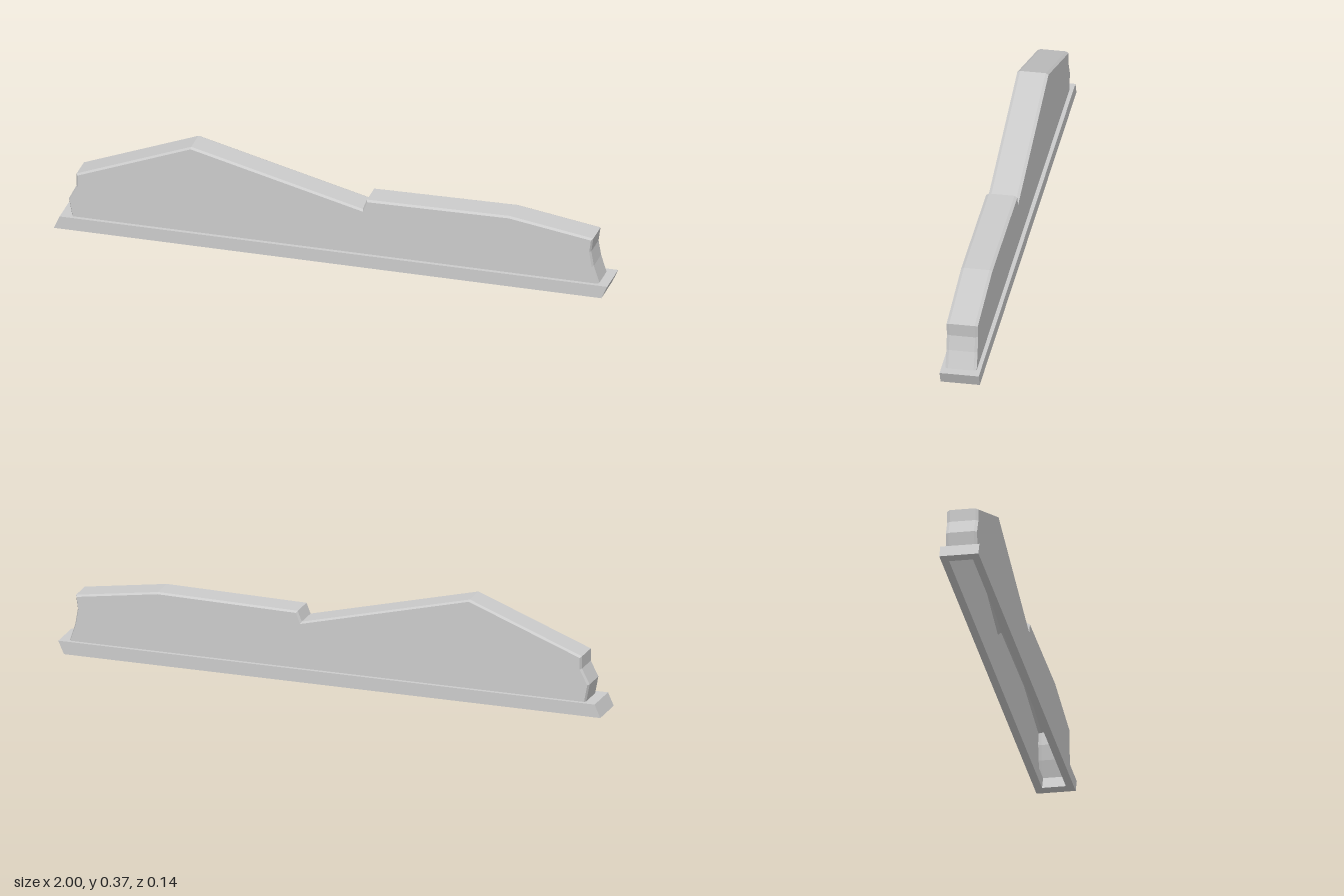
import * as THREE from 'three';

const BASE_H = 0.047;
const material = new THREE.MeshStandardMaterial({ color: 0xcccccc, flatShading: true, side: THREE.DoubleSide });

// Open side outline of the body, from bottom left over the top to bottom right
const outline = [
  [-0.94, BASE_H], [-0.952, 0.11], [-0.924, 0.165], [-0.924, 0.21],
  [-0.51, 0.37], [0.11, 0.215], [0.125, 0.253], [0.64, 0.261],
  [0.943, 0.215], [0.936, 0.165], [0.945, 0.11], [0.965, BASE_H],
].map(([x, y]) => new THREE.Vector2(x, y));

// Move an open outline inward by d with mitred corners
function inset(points, d) {
  const normal = (a, b) => {
    const t = b.clone().sub(a).normalize();
    return new THREE.Vector2(t.y, -t.x);
  };
  return points.map((p, i) => {
    const n1 = normal(points[Math.max(i - 1, 0)], points[Math.max(i, 1)]);
    const last = points.length - 1;
    const n2 = normal(points[Math.min(i, last - 1)], points[Math.min(i + 1, last)]);
    const m = n1.clone().add(n2);
    const q = p.clone().addScaledVector(m, d / (1 + n1.dot(n2)));
    if (i === 0 || i === last) q.y = BASE_H;
    return q;
  });
}

// Chamfered rim joining the two side panels, open underneath
function rimGeometry(inner) {
  const rings = [[inner, 0.055], [outline, 0.045], [outline, -0.045], [inner, -0.055]];
  const position = [];
  const index = [];
  const n = outline.length;
  rings.forEach(([ring, z], r) => ring.forEach((p, i) => {
    position.push(p.x, p.y, z);
    if (r < 3 && i < n - 1) {
      const a = r * n + i;
      index.push(a, a + 1, a + n, a + 1, a + n + 1, a + n);
    }
  }));
  const geometry = new THREE.BufferGeometry();
  geometry.setAttribute('position', new THREE.Float32BufferAttribute(position, 3));
  geometry.setIndex(index);
  const flat = geometry.toNonIndexed();
  flat.computeVertexNormals();
  return flat;
}

function rectangle(path, x0, x1, z) {
  path.moveTo(x0, -z);
  path.lineTo(x1, -z);
  path.lineTo(x1, z);
  path.lineTo(x0, z);
  path.closePath();
  return path;
}

export function createModel() {
  const model = new THREE.Group();
  const add = (parent, name, geometry) => {
    const mesh = new THREE.Mesh(geometry, material);
    mesh.name = name;
    parent.add(mesh);
    return mesh;
  };

  // Base frame, open in the middle, with both ends leaning the same way
  const frame = rectangle(new THREE.Shape(), -1, 0.979, 0.069);
  frame.holes.push(rectangle(new THREE.Path(), -0.955, 0.935, 0.042));
  const base = new THREE.ExtrudeGeometry(frame, { depth: BASE_H, bevelEnabled: false });
  base.rotateX(-Math.PI / 2);
  const pos = base.attributes.position;
  for (let i = 0; i < pos.count; i++) pos.setX(i, pos.getX(i) + pos.getY(i) * 0.447);
  base.computeVertexNormals();
  add(model, 'baseFrame', base);

  // Hollow body
  const body = new THREE.Group();
  body.name = 'body';
  model.add(body);
  const inner = inset(outline, 0.005);
  add(body, 'bodyRim', rimGeometry(inner));
  const panel = new THREE.ShapeGeometry(new THREE.Shape(inner));
  add(body, 'frontPanel', panel).position.z = 0.055;

  // Back panel is the mirrored front panel with its faces turned outward
  const back = panel.clone();
  const ids = back.index.array;
  for (let i = 0; i < ids.length; i += 3) [ids[i], ids[i + 1]] = [ids[i + 1], ids[i]];
  back.computeVertexNormals();
  add(body, 'backPanel', back).position.z = -0.055;

  return model;
}
